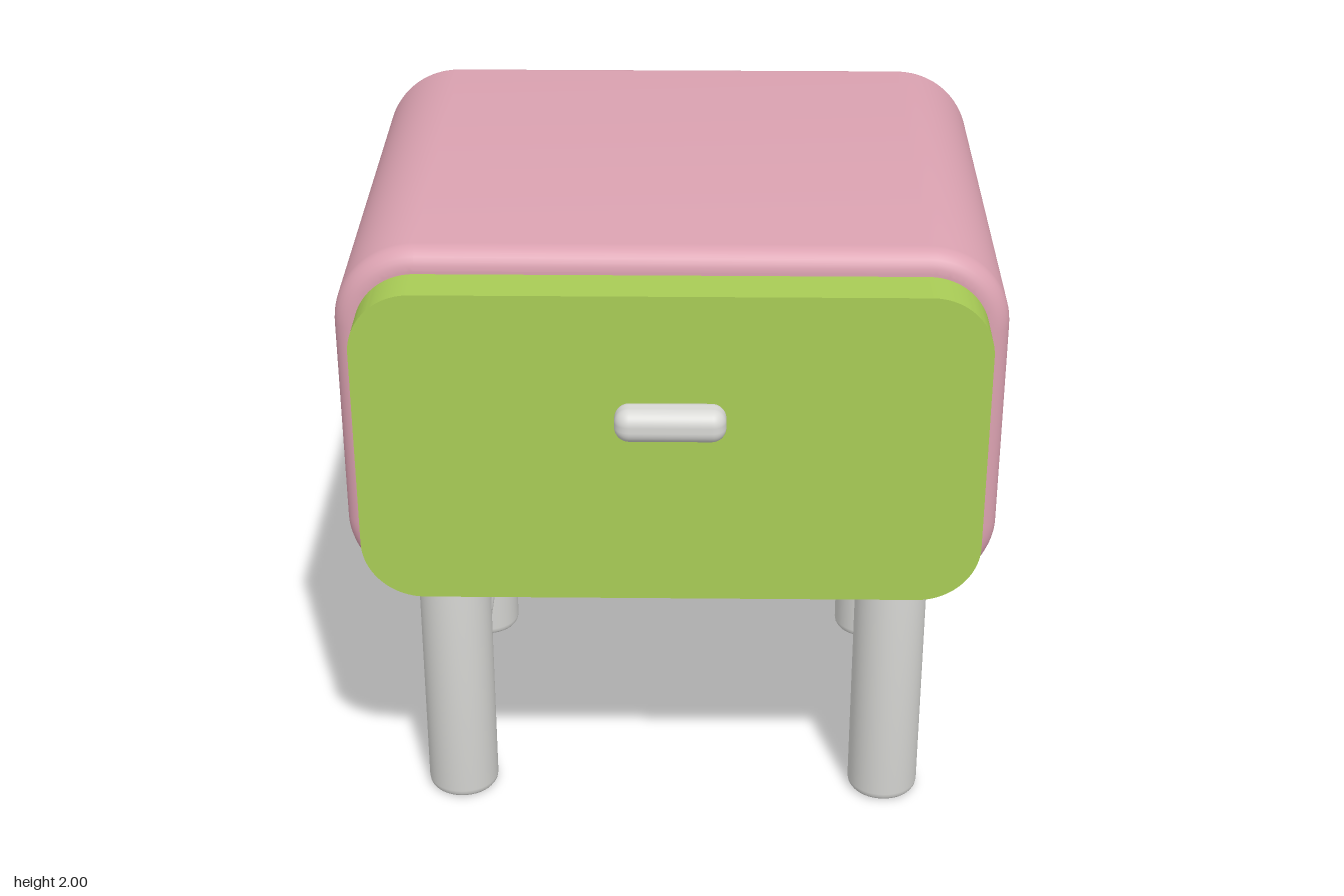
import * as THREE from 'three';
import { mergeVertices, toCreasedNormals } from 'three/addons/utils/BufferGeometryUtils.js';
import { RoundedBoxGeometry } from 'three/addons/geometries/RoundedBoxGeometry.js';

// Rounded rectangle outline centred on the origin, from half sizes and corner radius
function roundedRect(path, hw, hh, r) {
  path.absarc(hw - r, hh - r, r, 0, Math.PI / 2);
  path.absarc(-hw + r, hh - r, r, Math.PI / 2, Math.PI);
  path.absarc(-hw + r, -hh + r, r, Math.PI, Math.PI * 1.5);
  path.absarc(hw - r, -hh + r, r, Math.PI * 1.5, Math.PI * 2);
  path.closePath();
  return path;
}

// Extrude with smooth rounded corners and sharp edges
function extrude(shape, depth, bevel = 0) {
  const geo = new THREE.ExtrudeGeometry(shape, {
    depth, curveSegments: 14, bevelEnabled: bevel > 0,
    bevelSize: bevel, bevelThickness: bevel, bevelSegments: 7,
  });
  geo.deleteAttribute('normal');
  geo.deleteAttribute('uv');
  return toCreasedNormals(mergeVertices(geo, 1e-5), 0.6);
}

export function createModel() {
  const model = new THREE.Group();
  model.name = 'nightstand';

  const material = (name, color) => {
    const m = new THREE.MeshStandardMaterial({ color });
    m.name = name;
    return m;
  };
  const pink = material('pink', 0xdba2b1);
  const green = material('green', 0xa9cc56);
  const grey = material('light grey', 0xd8d8d5);

  const add = (name, geo, mat, x, y, z) => {
    const mesh = new THREE.Mesh(geo, mat);
    mesh.name = name;
    mesh.position.set(x, y, z);
    model.add(mesh);
    return mesh;
  };

  // Cabinet: a rounded sleeve with soft rims at both ends
  const midY = 1.4425;
  const b = 0.06;
  const sleeve = roundedRect(new THREE.Shape(), 0.96 - b, 0.5575 - b, 0.24 - b);
  sleeve.holes.push(roundedRect(new THREE.Path(), 0.885, 0.4825, 0.17));
  add('cabinet', extrude(sleeve, 1.4, b), pink, 0, midY, -0.82);

  // Back panel set just inside the rear rim
  const back = roundedRect(new THREE.Shape(), 0.828, 0.4255, 0.11);
  add('backPanel', extrude(back, 0.06), pink, 0, midY, -0.86);

  // Drawer front and its handle
  const drawer = roundedRect(new THREE.Shape(), 0.9, 0.487, 0.18);
  add('drawerFront', extrude(drawer, 0.15), green, 0, 1.444, 0.63);
  add('handle', new RoundedBoxGeometry(0.315, 0.1, 0.105, 5, 0.042), grey, 0, 1.565, 0.8275);

  // Legs with softened feet, and a stretcher on each side
  const legProfile = [[0, 0], [0.092, 0], [0.103, 0.005], [0.109, 0.014], [0.111, 0.026], [0.111, 0.95]]
    .map(([r, y]) => new THREE.Vector2(r, y));
  const legGeo = toCreasedNormals(new THREE.LatheGeometry(legProfile, 40), 0.6);
  const barGeo = new THREE.CylinderGeometry(0.063, 0.063, 0.96, 28).rotateX(Math.PI / 2);
  for (const [side, x] of [['left', 0.68], ['right', -0.68]]) {
    add(side + 'FrontLeg', legGeo, grey, x, 0, 0.362);
    add(side + 'BackLeg', legGeo, grey, x, 0, -0.6);
    add(side + 'Stretcher', barGeo, grey, x, 0.325, -0.119);
  }
  return model;
}
